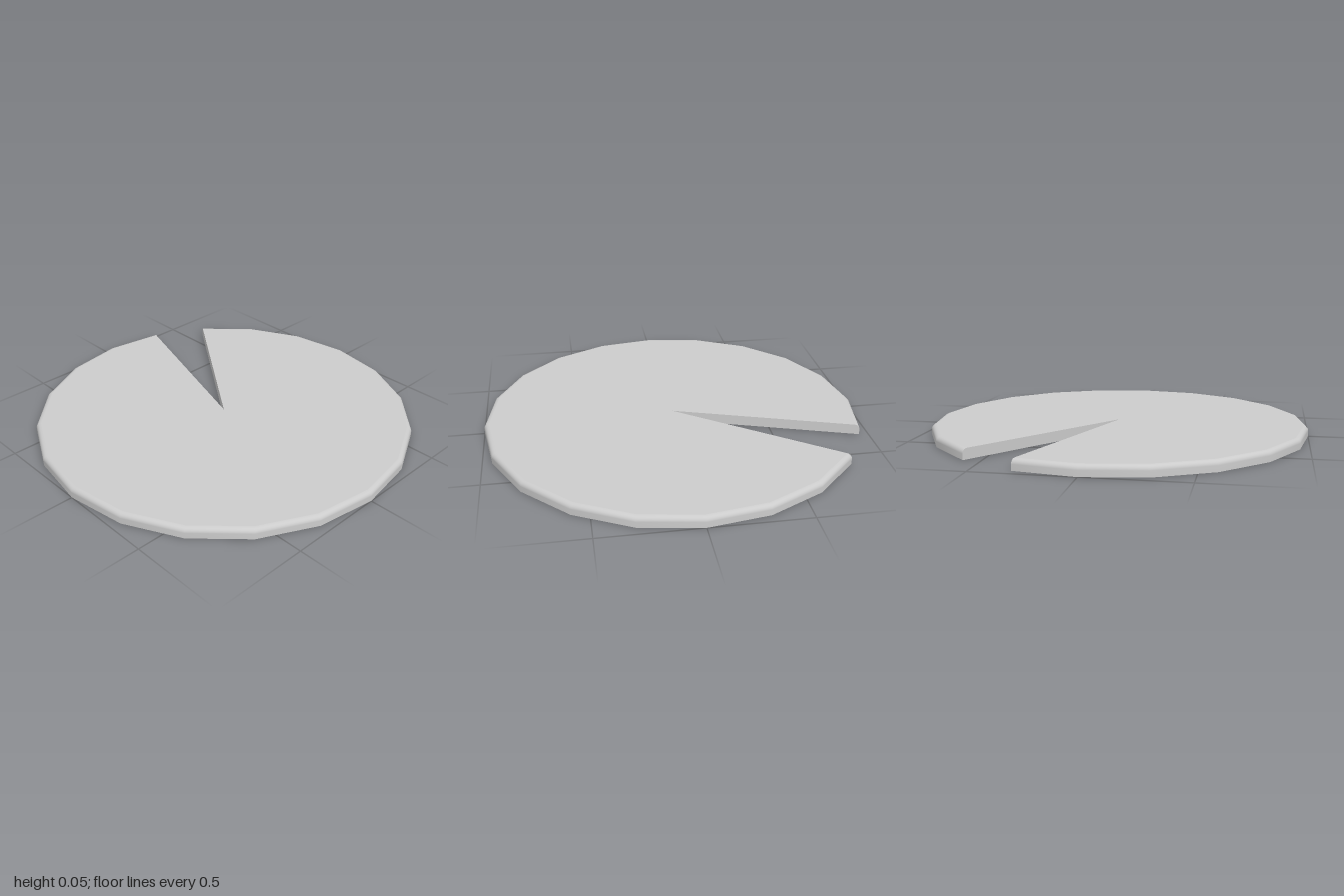
import * as THREE from 'three';

const SIDES = 20, R = 1, H = 0.055, BEVEL = 0.025;
const STEP = (Math.PI * 2) / SIDES;
const GAP_START = 3 * STEP, GAP_END = 4 * STEP; // missing slice, counted from +x towards the back
const SWEEP = Math.PI * 2 - STEP;

export function createModel() {
  const group = new THREE.Group();
  group.name = 'slicedDisc';
  const material = new THREE.MeshStandardMaterial({ color: 0xcccccc });
  const add = (name, geometry) => {
    const mesh = new THREE.Mesh(geometry, material);
    mesh.name = name;
    group.add(mesh);
  };

  // Outer edge: straight wall, then a rounded shoulder
  const rim = [new THREE.Vector2(R, 0)];
  for (let i = 0; i <= 5; i++) {
    const a = (i / 5) * Math.PI / 2;
    rim.push(new THREE.Vector2(R - BEVEL + BEVEL * Math.cos(a), H - BEVEL + BEVEL * Math.sin(a)));
  }
  add('roundedRim', new THREE.LatheGeometry(rim, SIDES - 1, GAP_END + Math.PI / 2, SWEEP));

  // Flat top and underside
  const top = new THREE.CircleGeometry(R - BEVEL, SIDES - 1, GAP_END, SWEEP);
  add('topFace', top.rotateX(-Math.PI / 2).translate(0, H, 0));
  const bottom = new THREE.CircleGeometry(R, SIDES - 1, -GAP_START, SWEEP);
  add('underside', bottom.rotateX(Math.PI / 2));

  // Two cut walls, each the disc's half section
  const cutWall = (name, side, angle) => {
    const outline = [new THREE.Vector2(0, 0), ...rim, new THREE.Vector2(0, H)]
      .map((p) => new THREE.Vector2(p.x * side, p.y));
    add(name, new THREE.ShapeGeometry(new THREE.Shape(outline)).rotateY(angle));
  };
  cutWall('rightCutWall', 1, GAP_END);
  cutWall('leftCutWall', -1, GAP_START + Math.PI);

  return group;
}
